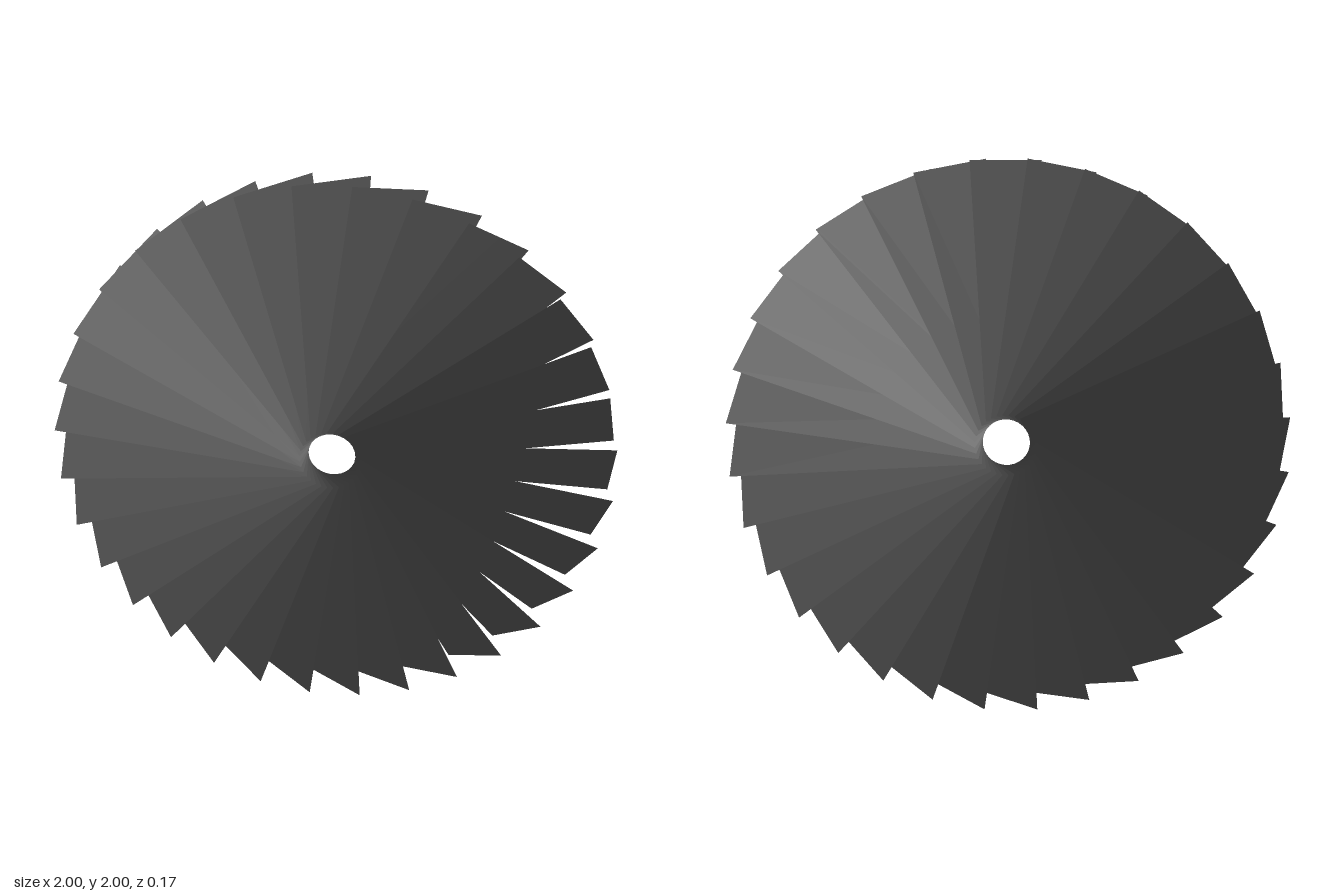
import * as THREE from 'three';

const BLADES = 32;
const ROOT = { r: 0.085, t: 0.07, z: 0.05 };   // inner radius, half width, half depth
const TIP = { r: 0.9957, t: 0.12, z: 0.085 };  // outer radius, half width, half depth

// One flat pitched blade pointing up, wider at the tip than at the root
function bladeGeometry() {
  const geo = new THREE.PlaneGeometry(2, 1);
  const p = geo.attributes.position;
  for (let i = 0; i < p.count; i++) {
    const side = Math.sign(p.getX(i));
    const end = p.getY(i) > 0 ? TIP : ROOT;
    p.setXYZ(i, side * end.t, end.r, -side * end.z);
  }
  geo.computeVertexNormals();
  return geo;
}

export function createModel() {
  const model = new THREE.Group();
  model.name = 'fanRotor';
  const darkGrey = new THREE.MeshStandardMaterial({ color: 0x555555, side: THREE.DoubleSide });
  darkGrey.name = 'dark grey';

  // Ring of overlapping blades around an open centre
  const ring = new THREE.Group();
  ring.name = 'bladeRing';
  ring.position.y = 1;
  const geo = bladeGeometry();
  for (let i = 0; i < BLADES; i++) {
    const blade = new THREE.Mesh(geo, darkGrey);
    blade.name = 'blade' + (i + 1);
    blade.rotation.z = (i / BLADES) * Math.PI * 2;
    ring.add(blade);
  }
  model.add(ring);
  return model;
}
